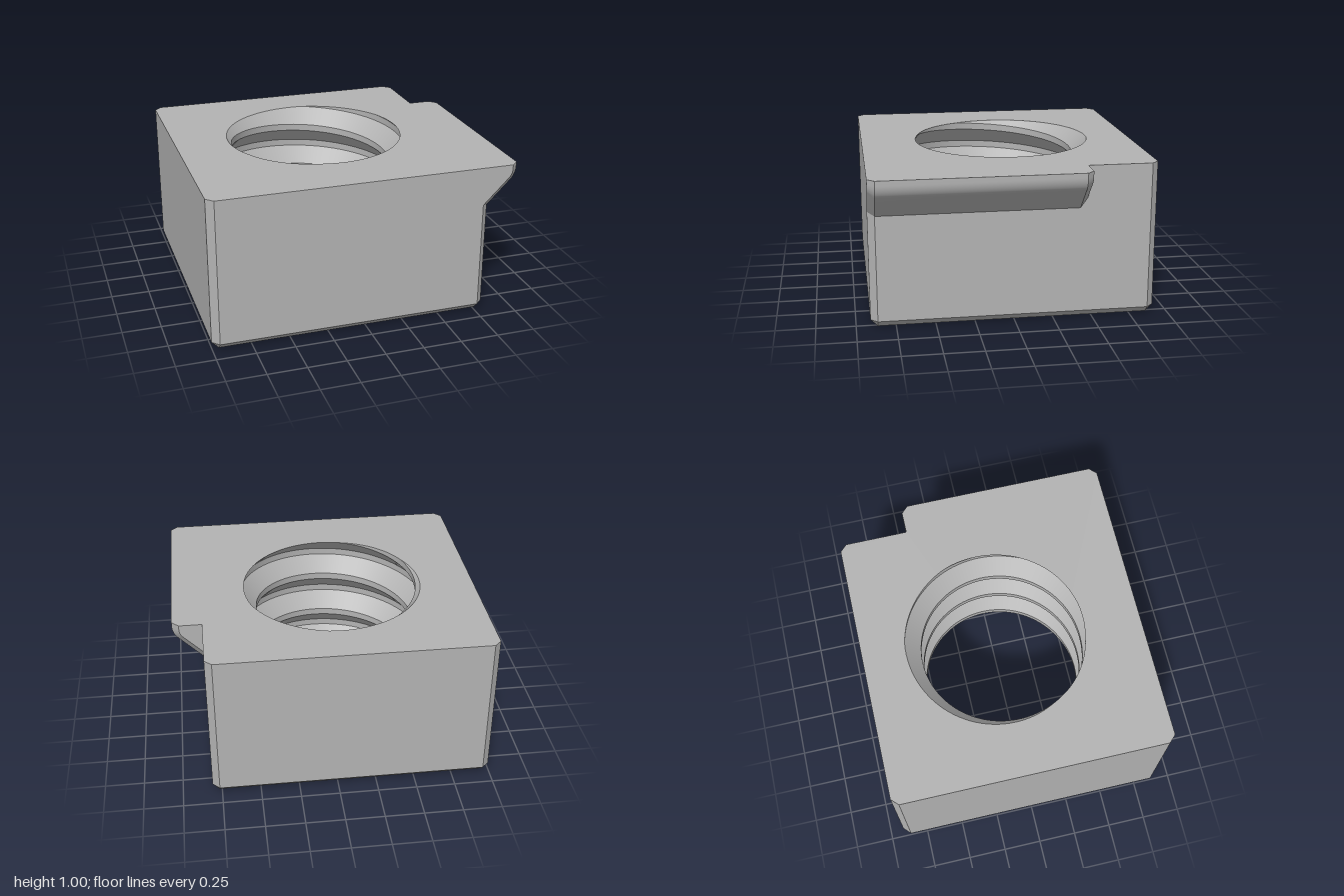
import * as THREE from 'three';
import { toCreasedNormals } from 'three/addons/utils/BufferGeometryUtils.js';

const CH = 0.045;                                   // chamfer
const L = -1, R = 0.81, Z = 0.91, H = 1;            // block
const LIP_BACK = -0.455, LIP_X = 1;                 // overhanging lip
const HOLE_X = -0.093, MINOR = 0.535, DEPTH = 0.1;  // threaded hole
const PITCH = 0.3, FLAT = 0.0225, SINK = 0.665;
const FLANK = PITCH / 2 - 2 * FLAT, PHASE = 0.29 * Math.PI;
const SEG = 96;

const steel = new THREE.MeshStandardMaterial({ color: 0xb3b3b3 });
steel.name = 'grey steel';

// Collects triangles and quads, skipping collapsed ones
function surface() {
  const pos = [];
  const tri = (a, b, c) => {
    const n = b.clone().sub(a).cross(c.clone().sub(a));
    if (n.length() > 1e-9) for (const p of [a, b, c]) pos.push(p.x, p.y, p.z);
  };
  return {
    tri,
    quad(a, b, c, d) { tri(a, b, c); tri(a, c, d); },
    build(crease) {
      const g = new THREE.BufferGeometry();
      g.setAttribute('position', new THREE.Float32BufferAttribute(pos, 3));
      g.computeVertexNormals();
      return toCreasedNormals(g, crease);
    },
  };
}

const V = (x, y, z) => new THREE.Vector3(x, y, z);

// Block walls: chamfered outline lofted from a plain inset rectangle
function blockWalls() {
  const corners = [[R, Z, 1, 1, 0], [R, -Z, 1, -1, 1], [L, -Z, -1, -1, 0], [L, Z, -1, 1, 1]];
  const outline = [], base = [];
  for (const [x, z, sx, sz, flip] of corners) {
    const alongZ = [x, z - sz * CH], alongX = [x - sx * CH, z];
    outline.push(...(flip ? [alongZ, alongX] : [alongX, alongZ]));
    const inset = [x - sx * CH, z - sz * CH];
    base.push(inset, inset);
  }
  const loops = [[base, 0], [outline, CH], [outline, H]]
    .map(([pts, y]) => pts.map(([x, z]) => V(x, y, z)));
  const s = surface();
  for (let k = 0; k < 2; k++) {
    for (let i = 0; i < 8; i++) {
      const j = (i + 1) % 8;
      s.quad(loops[k][i], loops[k][j], loops[k + 1][j], loops[k + 1][i]);
    }
  }
  return s.build(0.2);
}

// Lip section: 45 degree underside, rounded nose, short vertical edge
function lipSection(z, inset, x0) {
  const cx = 0.88, cy = 0.97, r = LIP_X - cx - inset;
  const k = Math.SQRT1_2 * r;
  const pts = [V(x0, cy - k - (cx + k - x0), z)];
  for (let i = 0; i <= 10; i++) {
    const a = -Math.PI / 4 * (1 - i / 10);
    pts.push(V(cx + r * Math.cos(a), cy + r * Math.sin(a), z));
  }
  pts.push(V(cx + r, H, z));
  return pts;
}

function lip() {
  const rows = [
    lipSection(Z, CH, R - CH), lipSection(Z - CH, 0, R),
    lipSection(LIP_BACK + CH, 0, R), lipSection(LIP_BACK, CH, R),
  ];
  const s = surface();
  for (let k = 0; k < 3; k++) {
    for (let j = 0; j < rows[0].length - 1; j++) {
      s.quad(rows[k][j], rows[k + 1][j], rows[k + 1][j + 1], rows[k][j + 1]);
    }
  }
  const front = V(R - CH, H, Z), back = V(R, H, LIP_BACK);
  for (let j = 0; j < rows[0].length - 1; j++) {
    s.tri(front, rows[0][j], rows[0][j + 1]);
    s.tri(back, rows[3][j + 1], rows[3][j]);
  }
  return s.build(0.3);
}

// Thread radius at an angle and height
const rootHeight = (a) => H + PITCH * (a - PHASE) / (2 * Math.PI);
function threadRadius(a, y) {
  const u = (((y - rootHeight(a)) / PITCH) % 1 + 1) % 1;
  const d = Math.min(u, 1 - u) * PITCH;
  return MINOR + DEPTH * THREE.MathUtils.clamp((PITCH / 2 - FLAT - d) / FLANK, 0, 1);
}
const onHole = (a, r, y) => V(HOLE_X + r * Math.cos(a), y, -r * Math.sin(a));

// Helical thread running down into the countersink
function threadedHole() {
  const columns = [];
  for (let i = 0; i <= SEG; i++) {
    const a = i / SEG * 2 * Math.PI;
    let lo = 0, hi = 0.2;
    for (let n = 0; n < 30; n++) {
      const m = (lo + hi) / 2;
      if (threadRadius(a, m) + m < SINK) lo = m; else hi = m;
    }
    const col = [];
    for (let n = -1; n <= 5; n++) {
      for (const off of [FLAT, -FLAT, -FLAT - FLANK, -3 * FLAT - FLANK]) {
        const y = THREE.MathUtils.clamp(rootHeight(a) - n * PITCH + off, hi, H);
        col.push(onHole(a, threadRadius(a, y), y));
      }
    }
    col.push(onHole(a, SINK, 0));
    columns.push(col);
  }
  const s = surface();
  for (let i = 0; i < SEG; i++) {
    const p = columns[i], q = columns[i + 1];
    for (let j = 0; j < p.length - 1; j++) s.quad(p[j], q[j], q[j + 1], p[j + 1]);
  }
  return s.build(0.4);
}

// Flat face with the hole opening cut out
function face(outline, radiusAt, y, up) {
  const sign = up ? -1 : 1;
  const shape = new THREE.Shape(outline.map(([x, z]) => new THREE.Vector2(x, sign * z)));
  const rim = [];
  for (let i = 0; i < SEG; i++) {
    const a = i / SEG * 2 * Math.PI, p = onHole(a, radiusAt(a), 0);
    rim.push(new THREE.Vector2(p.x, sign * p.z));
  }
  shape.holes.push(new THREE.Path(rim));
  return new THREE.ShapeGeometry(shape).rotateX(sign * Math.PI / 2).translate(0, y, 0);
}

export function createModel() {
  const group = new THREE.Group();
  group.name = 'threadedBlock';
  const add = (name, geometry) => {
    const mesh = new THREE.Mesh(geometry, steel);
    mesh.name = name;
    group.add(mesh);
  };

  const topOutline = [
    [L + CH, Z], [LIP_X - CH, Z], [LIP_X, Z - CH], [LIP_X, LIP_BACK + CH],
    [LIP_X - CH, LIP_BACK], [R, LIP_BACK], [R, -Z + CH], [R - CH, -Z],
    [L + CH, -Z], [L, -Z + CH], [L, Z - CH],
  ];
  const baseOutline = [
    [L + CH, -Z + CH], [R - CH, -Z + CH], [R - CH, Z - CH], [L + CH, Z - CH],
  ];

  add('blockWalls', blockWalls());
  add('sideLip', lip());
  add('topFace', face(topOutline, (a) => threadRadius(a, H), H, true));
  add('bottomFace', face(baseOutline, () => SINK, 0, false));
  add('threadedHole', threadedHole());
  return group;
}
